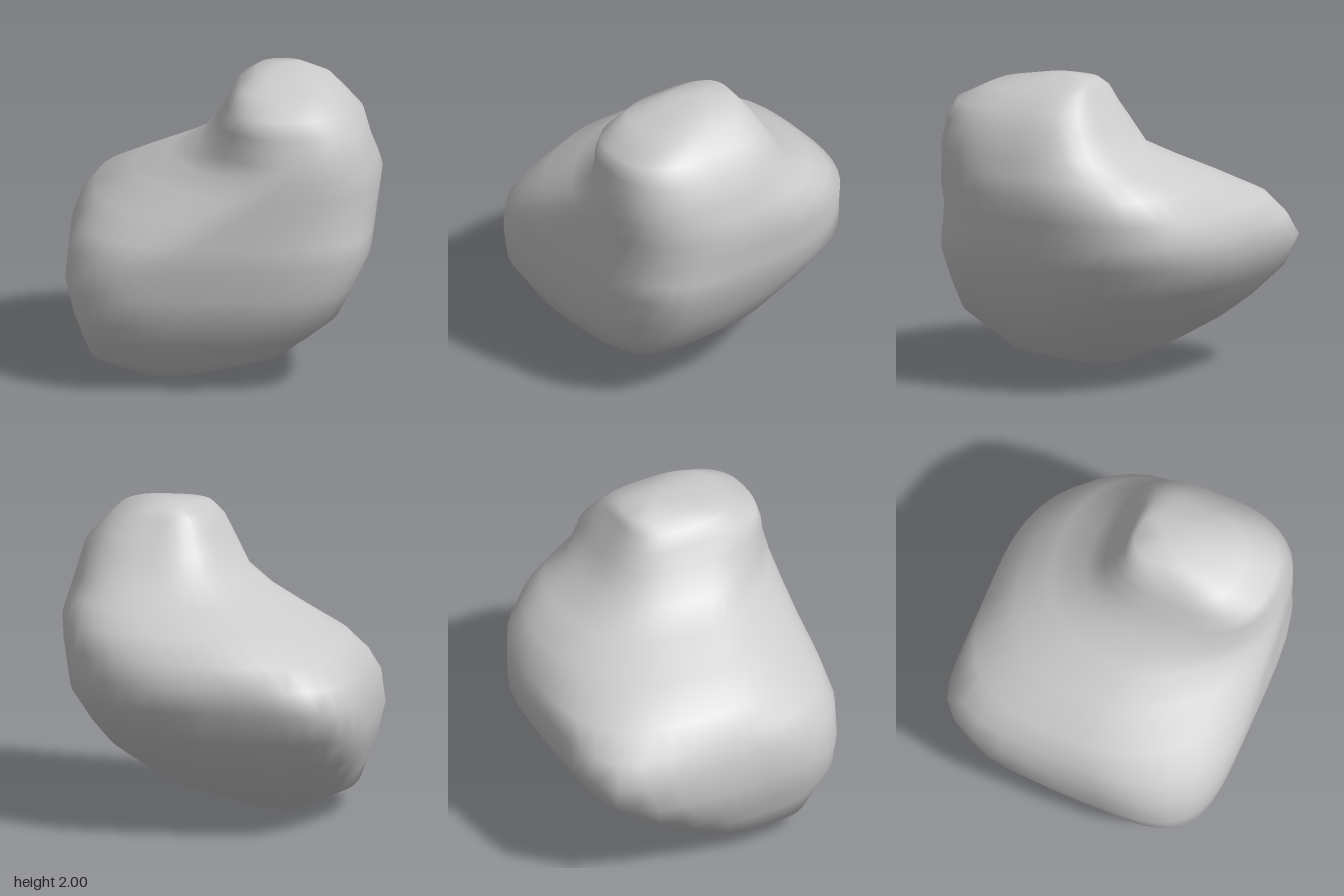
import * as THREE from 'three';

// Horizontal slices of the blob, bottom to top: [y, xMin, xMax, zMin, zMax,
// then the squareness of the back -x, back +x, front +x and front -x corners]
const SLICES = [
  [0.01, -0.50, -0.15, 0.13, 0.40, 2.2, 2.0, 2.4, 2.6],
  [0.06, -0.60, 0.02, 0.02, 0.50, 2.4, 2.0, 2.6, 2.8],
  [0.17, -0.83, 0.38, -0.20, 0.68, 2.7, 2.0, 2.9, 3.2],
  [0.32, -0.89, 0.58, -0.46, 0.78, 3.2, 2.1, 3.4, 3.3],
  [0.46, -0.94, 0.74, -0.64, 0.88, 3.8, 2.3, 3.8, 3.3],
  [0.65, -0.99, 0.84, -0.83, 0.91, 4.6, 2.7, 4.1, 3.1],
  [0.86, -0.97, 0.94, -0.94, 0.94, 5.2, 3.0, 4.0, 2.8],
  [1.00, -0.92, 0.96, -0.92, 0.94, 4.4, 2.8, 3.8, 2.3],
  [1.15, -0.82, 0.98, -0.90, 0.93, 3.1, 2.5, 3.3, 1.9],
  [1.30, -0.58, 1.00, -0.74, 0.93, 2.4, 2.5, 3.0, 1.55],
  [1.42, -0.34, 0.97, -0.57, 0.92, 2.3, 2.5, 2.8, 1.5],
  [1.53, -0.15, 0.94, -0.36, 0.91, 2.5, 2.7, 2.7, 1.7],
  [1.70, -0.03, 0.89, -0.25, 0.87, 3.0, 3.3, 2.7, 2.4],
  [1.81, 0.04, 0.79, -0.17, 0.83, 3.3, 3.8, 2.7, 2.7],
  [1.91, 0.10, 0.69, -0.11, 0.63, 3.4, 3.8, 2.8, 2.9],
  [1.97, 0.21, 0.53, -0.07, 0.34, 2.6, 2.6, 2.4, 2.4],
];
const SEGMENTS = 48;

// One point of a rounded-square loop; the lower slices bulge towards -x and +z
function slicePoint([y, x0, x1, z0, z1, ...corners], j) {
  const t = (j / SEGMENTS) * Math.PI * 2;
  const c = Math.cos(t), s = Math.sin(t);
  const n = corners[s < 0 ? (c < 0 ? 0 : 1) : (c < 0 ? 3 : 2)];
  const r = Math.pow(Math.abs(c) ** n + Math.abs(s) ** n, -1 / n);
  const shift = 0.11 * (1 - THREE.MathUtils.smoothstep(y, 0.8, 1.25));
  const x = THREE.MathUtils.lerp(x0, x1, 0.5 - shift);
  const z = THREE.MathUtils.lerp(z0, z1, 0.5 + shift);
  return [x + r * c * (c < 0 ? x - x0 : x1 - x), y, z + r * s * (s < 0 ? z - z0 : z1 - z)];
}

// Skin the slices and close both ends with a centre point
function blobGeometry() {
  const positions = [], index = [];
  for (const slice of SLICES) {
    for (let j = 0; j < SEGMENTS; j++) positions.push(...slicePoint(slice, j));
  }
  const last = (SLICES.length - 1) * SEGMENTS;
  const bottom = last + SEGMENTS, top = bottom + 1;
  positions.push(-0.35, 0, 0.27, 0.37, 2, 0.12);
  for (let j = 0; j < SEGMENTS; j++) {
    const k = (j + 1) % SEGMENTS;
    for (let row = 0; row < last; row += SEGMENTS) {
      const a = row + j, b = row + k, c = a + SEGMENTS, d = b + SEGMENTS;
      index.push(a, c, b, b, c, d);
    }
    index.push(bottom, j, k, top, last + k, last + j);
  }
  const geometry = new THREE.BufferGeometry();
  geometry.setAttribute('position', new THREE.Float32BufferAttribute(positions, 3));
  geometry.setIndex(index);
  geometry.computeVertexNormals();
  return geometry;
}

export function createModel() {
  const group = new THREE.Group();
  group.name = 'smoothBoulder';
  const body = new THREE.Mesh(blobGeometry(), new THREE.MeshStandardMaterial({ color: 0xcccccc }));
  body.name = 'boulderBody';
  group.add(body);
  return group;
}
